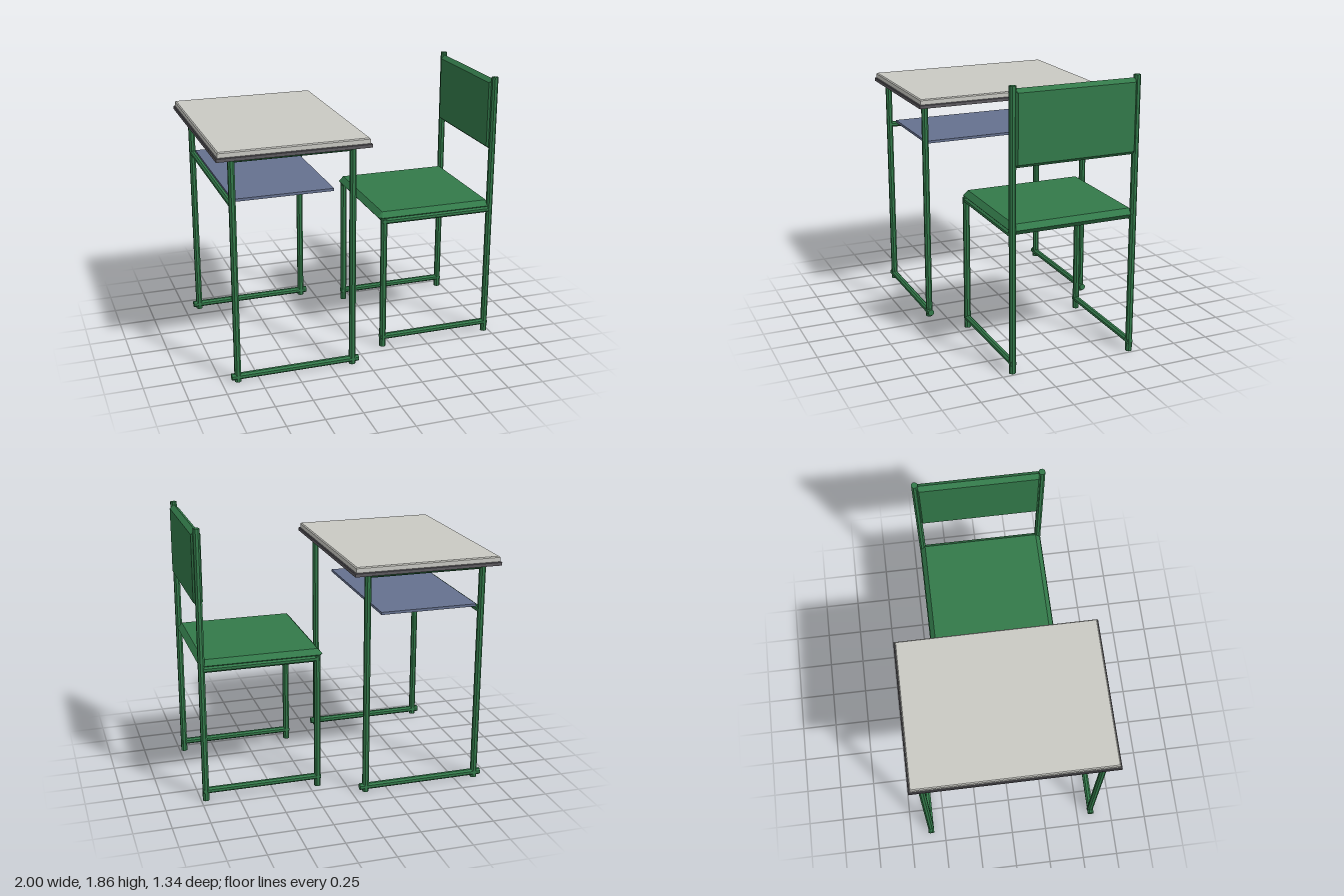
import * as THREE from 'three';
import { ConvexGeometry } from 'three/addons/geometries/ConvexGeometry.js';

const material = (name, color) => {
  const m = new THREE.MeshStandardMaterial({ color });
  m.name = name;
  return m;
};

export function createModel() {
  const green = material('green paint', 0x337a4a);
  const grey = material('light grey laminate', 0xcacac4);
  const dark = material('dark grey edging', 0x5c5a5f);
  const blue = material('blue grey shelf', 0x65718f);

  const model = new THREE.Group();
  model.name = 'schoolDeskAndChair';
  const desk = new THREE.Group();
  desk.name = 'desk';
  const chair = new THREE.Group();
  chair.name = 'chair';
  model.add(desk, chair);

  const add = (parent, name, geometry, mat, x = 0, y = 0, z = 0) => {
    const mesh = new THREE.Mesh(geometry, mat);
    mesh.name = name;
    mesh.position.set(x, y, z);
    parent.add(mesh);
    return mesh;
  };

  // Eight-sided straight tube between two points
  const tube = (parent, name, a, b, width = 0.042) => {
    const p = new THREE.Vector3(...a), q = new THREE.Vector3(...b);
    const dir = q.clone().sub(p);
    const r = width / 2 / Math.cos(Math.PI / 8);
    const flat = new THREE.CylinderGeometry(r, r, dir.length(), 8).rotateY(Math.PI / 8).toNonIndexed();
    flat.computeVertexNormals();
    const mesh = add(parent, name, flat, green);
    mesh.position.copy(p).add(q).multiplyScalar(0.5);
    mesh.quaternion.setFromUnitVectors(new THREE.Vector3(0, 1, 0), dir.normalize());
  };

  // Pad lying flat: widest at mid height, sloping in to its two faces, corners cut
  const pad = (w, h, d, inset, cut) => {
    const pts = [];
    for (const sx of [-1, 1]) for (const sz of [-1, 1]) {
      const x = w / 2, z = d / 2;
      pts.push(new THREE.Vector3(sx * (x - cut), 0, sz * z), new THREE.Vector3(sx * x, 0, sz * (z - cut)));
      for (const sy of [-1, 1]) pts.push(new THREE.Vector3(sx * (x - inset), sy * h / 2, sz * (z - inset)));
    }
    return new ConvexGeometry(pts);
  };

  // Board with a narrow bevel around its upper edge
  const board = (w, h, d, bevel) => {
    const pts = [];
    for (const sx of [-1, 1]) for (const sz of [-1, 1]) {
      for (const [y, i] of [[-h / 2, 0], [h / 2 - bevel, 0], [h / 2, bevel]])
        pts.push(new THREE.Vector3(sx * (w / 2 - i), y, sz * (d / 2 - i)));
    }
    return new ConvexGeometry(pts);
  };

  // Desk top, edging and shelf
  add(desk, 'deskTop', board(0.99, 0.036, 1.32, 0.007), grey, -0.495, 1.577, 0);
  add(desk, 'deskEdging', board(1.01, 0.025, 1.34, 0.004), dark, -0.495, 1.547, 0);
  add(desk, 'shelf', new THREE.BoxGeometry(0.67, 0.018, 1.11), blue, -0.545, 1.241, 0);
  tube(desk, 'shelfBar', [-0.89, 1.22, -0.59], [-0.89, 1.22, 0.59], 0.038);

  // Desk side frames
  for (const z of [-0.6, 0.6]) {
    for (const x of [-0.893, -0.098]) tube(desk, 'deskLeg', [x, 0, z], [x, 1.536, z]);
    tube(desk, 'deskTopRail', [-0.9, 1.523, z], [-0.09, 1.523, z], 0.034);
    tube(desk, 'deskFootRail', [-0.935, 0.036, z], [-0.055, 0.036, z]);
  }

  // Chair side frames
  for (const z of [-0.42, 0.42]) {
    tube(chair, 'frontLeg', [0.19, 0, z], [0.19, 0.945, z]);
    tube(chair, 'backPost', [0.967, 0, z], [0.967, 1.86, z]);
    tube(chair, 'seatRail', [0.175, 0.928, z], [0.967, 0.928, z], 0.04);
    tube(chair, 'chairFootRail', [0.17, 0.07, z], [0.985, 0.07, z], 0.04);
  }

  // Seat and backrest pads
  add(chair, 'seat', pad(0.83, 0.07, 0.87, 0.032, 0.025), green, 0.565, 0.955, 0);
  const back = pad(0.49, 0.062, 0.84, 0.024, 0.015);
  back.rotateZ(Math.PI / 2);
  add(chair, 'backrest', back, green, 0.967, 1.597, 0);

  return model;
}
